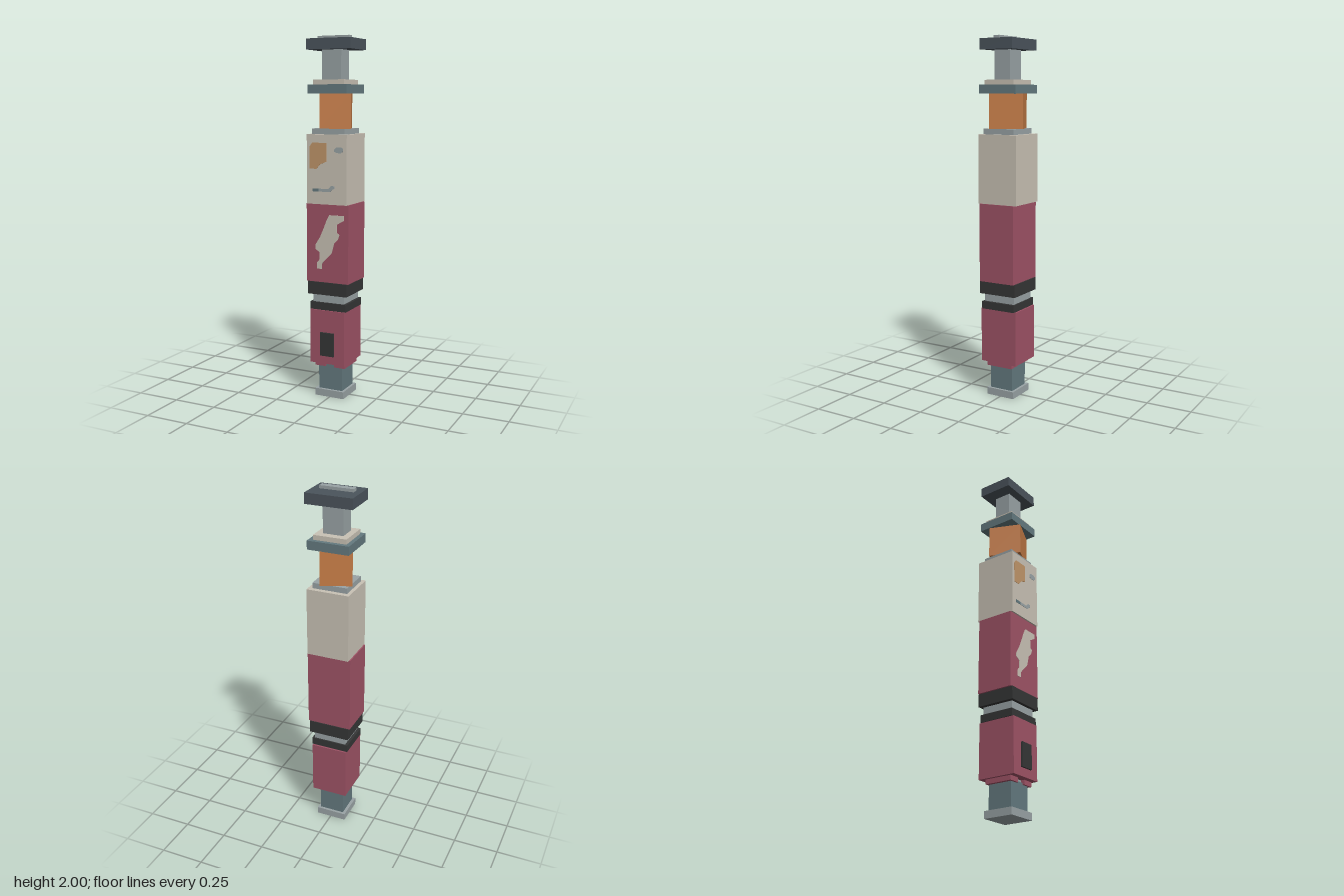
import * as THREE from 'three';

const paint = (name, color) => {
  const m = new THREE.MeshStandardMaterial({ color });
  m.name = name;
  return m;
};

export function createModel() {
  const group = new THREE.Group();
  const crimson = paint('crimson', 0x9f5366);
  const cream = paint('cream', 0xc9c2b5);
  const orange = paint('orange', 0xc47b45);
  const tan = paint('tan', 0xc0966a);
  const grey = paint('light grey', 0x99a3a5);
  const teal = paint('slate teal', 0x647a7f);
  const slate = paint('dark slate', 0x4b545c);
  const black = paint('black', 0x353636);

  // Box from its limits on each axis
  function block(name, mat, [x0, x1], [y0, y1], [z0, z1]) {
    const mesh = new THREE.Mesh(new THREE.BoxGeometry(x1 - x0, y1 - y0, z1 - z0), mat);
    mesh.position.set((x0 + x1) / 2, (y0 + y1) / 2, (z0 + z1) / 2);
    mesh.name = name;
    group.add(mesh);
    return mesh;
  }

  // Thin flat decal on a front face
  function decal(name, mat, z, points) {
    const shape = new THREE.Shape(points.map(([x, y]) => new THREE.Vector2(x, y)));
    const mesh = new THREE.Mesh(new THREE.ExtrudeGeometry(shape, { depth: 0.003, bevelEnabled: false }), mat);
    mesh.position.z = z - 0.001;
    mesh.name = name;
    group.add(mesh);
  }

  // Foot, stem and lower handle
  block('foot', grey, [-0.09, 0.085], [0, 0.04], [-0.085, 0.086]);
  block('stem', teal, [-0.073, 0.07], [0.04, 0.185], [-0.07, 0.07]);
  block('stemCore', grey, [-0.04, 0.04], [0.185, 0.2], [-0.06, 0.06]);
  for (const s of [-1, 1]) {
    const xs = [0.027 * s, 0.091 * s].sort((a, b) => a - b);
    block('lowerLip', crimson, xs, [0.175, 0.2], [-0.077, 0.081]);
  }
  block('lowerBody', crimson, [-0.106, 0.101], [0.2, 0.505], [-0.111, 0.111]);
  block('buttonPanel', black, [-0.043, 0.039], [0.247, 0.38], [0.1, 0.121]);

  // Rings around the joint
  block('lowerRing', black, [-0.111, 0.107], [0.505, 0.547], [-0.101, 0.103]);
  block('joint', grey, [-0.095, 0.092], [0.547, 0.593], [-0.093, 0.093]);
  block('upperRing', black, [-0.119, 0.115], [0.593, 0.664], [-0.111, 0.112]);

  // Main body
  block('mainBody', crimson, [-0.128, 0.124], [0.664, 1.098], [-0.106, 0.107]);
  block('upperBody', cream, [-0.121, 0.118], [1.098, 1.476], [-0.12, 0.116]);
  block('neck', grey, [-0.101, 0.096], [1.476, 1.506], [-0.093, 0.095]);

  // Turned core block
  const core = block('turnedCore', orange, [-0.086, 0.084], [1.506, 1.693], [-0.093, 0.091]);
  core.rotation.y = 0.398;

  // Head
  block('headPlate', teal, [-0.118, 0.114], [1.693, 1.741], [-0.114, 0.111]);
  block('headStep', cream, [-0.095, 0.09], [1.741, 1.767], [-0.09, 0.092]);
  block('post', grey, [-0.06, 0.054], [1.767, 1.926], [-0.047, 0.05]);
  block('cap', slate, [-0.132, 0.13], [1.926, 1.984], [-0.102, 0.097]);
  block('capBar', grey, [-0.095, 0.093], [1.984, 2], [-0.003, 0.034]);

  // Painted details on the front
  decal('bolt', cream, 0.107, [
    [0.01, 1.04], [-0.008, 1.005], [-0.024, 0.965], [-0.045, 0.918], [-0.075, 0.87], [-0.075, 0.848],
    [-0.05, 0.832], [-0.05, 0.79], [-0.066, 0.77], [-0.066, 0.738], [-0.036, 0.738], [-0.033, 0.77],
    [-0.012, 0.792], [0.024, 0.828], [0.04, 0.886], [0.062, 0.908], [0.072, 0.934], [0.056, 0.945],
    [0.056, 0.99], [0.097, 1.013], [0.097, 1.04],
  ]);
  decal('tanPatch', tan, 0.116, [
    [-0.103, 1.29], [-0.062, 1.29], [-0.04, 1.315], [-0.003, 1.33], [-0.003, 1.431], [-0.088, 1.431], [-0.103, 1.41],
  ]);
  decal('spot', grey, 0.116, [
    [0.045, 1.385], [0.06, 1.378], [0.085, 1.378], [0.097, 1.388], [0.097, 1.402], [0.085, 1.409], [0.057, 1.409], [0.045, 1.398],
  ]);
  decal('darkDash', teal, 0.116, [[-0.087, 1.167], [-0.05, 1.167], [-0.05, 1.183], [-0.087, 1.183]]);
  decal('lightDash', grey, 0.116, [
    [-0.05, 1.167], [0.022, 1.167], [0.03, 1.178], [0.045, 1.186], [0.045, 1.2], [0.025, 1.2], [0.01, 1.183], [-0.05, 1.183],
  ]);

  return group;
}
